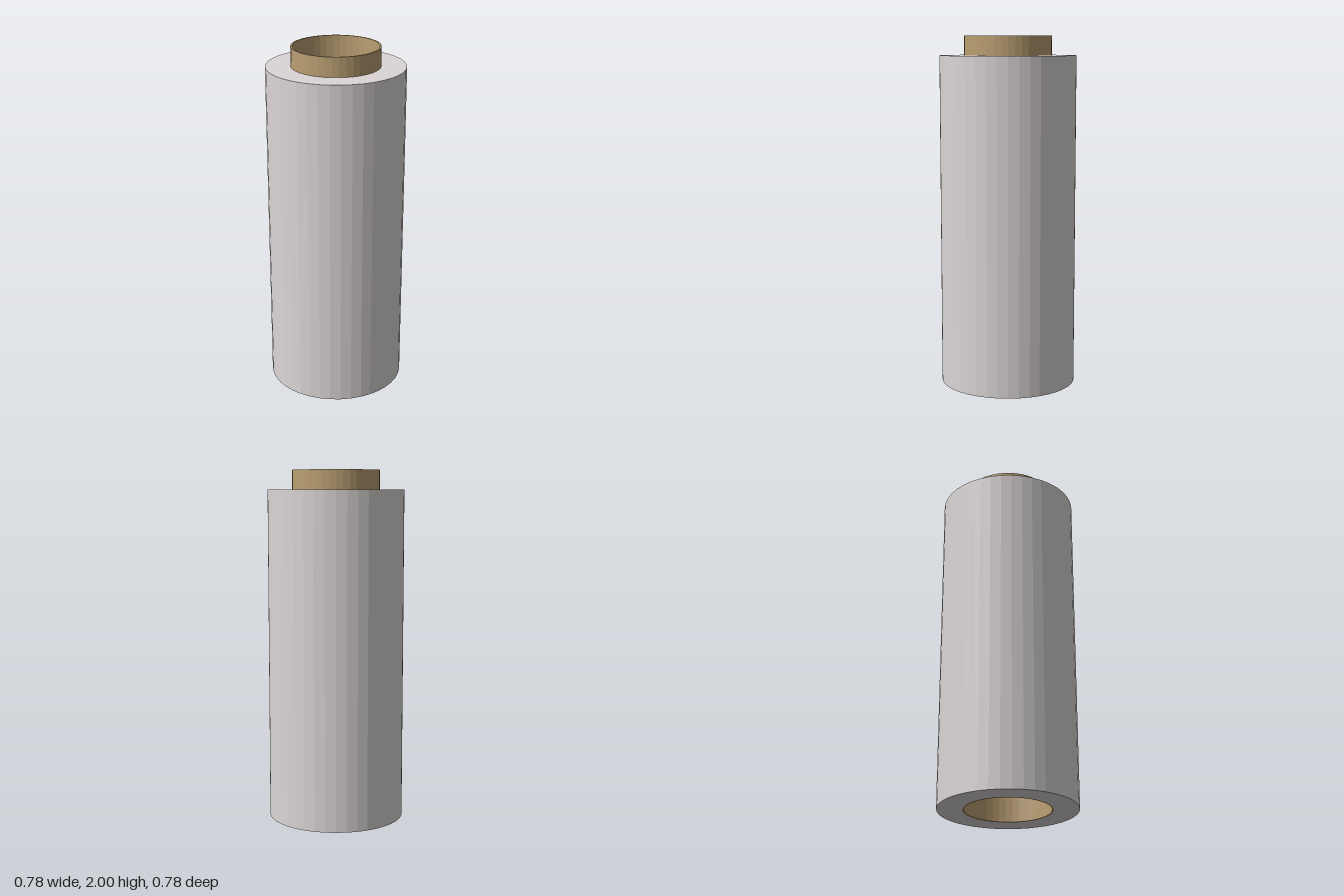
import * as THREE from 'three';

const SIDES = 40;

// Closed hollow cylinder: outer wall, top rim, inner wall, bottom rim.
function hollowCylinder(name, outer, inner, bottom, top, color) {
  const profile = [
    [outer, bottom], [outer, top], [inner, top], [inner, bottom], [outer, bottom],
  ].map(([r, y]) => new THREE.Vector2(r, y));
  const material = new THREE.MeshStandardMaterial({ color, flatShading: true });
  const mesh = new THREE.Mesh(new THREE.LatheGeometry(profile, SIDES), material);
  mesh.name = name;
  return mesh;
}

export function createModel() {
  const model = new THREE.Group();
  model.name = 'roll';

  // Wound sheet around the core
  model.add(hollowCylinder('woundSheet', 0.388, 0.248, 0, 1.89, 0xdcd6d6));

  // Thin cardboard core, standing proud at the top
  model.add(hollowCylinder('cardboardCore', 0.248, 0.239, 0, 2, 0xba9f72));

  return model;
}
